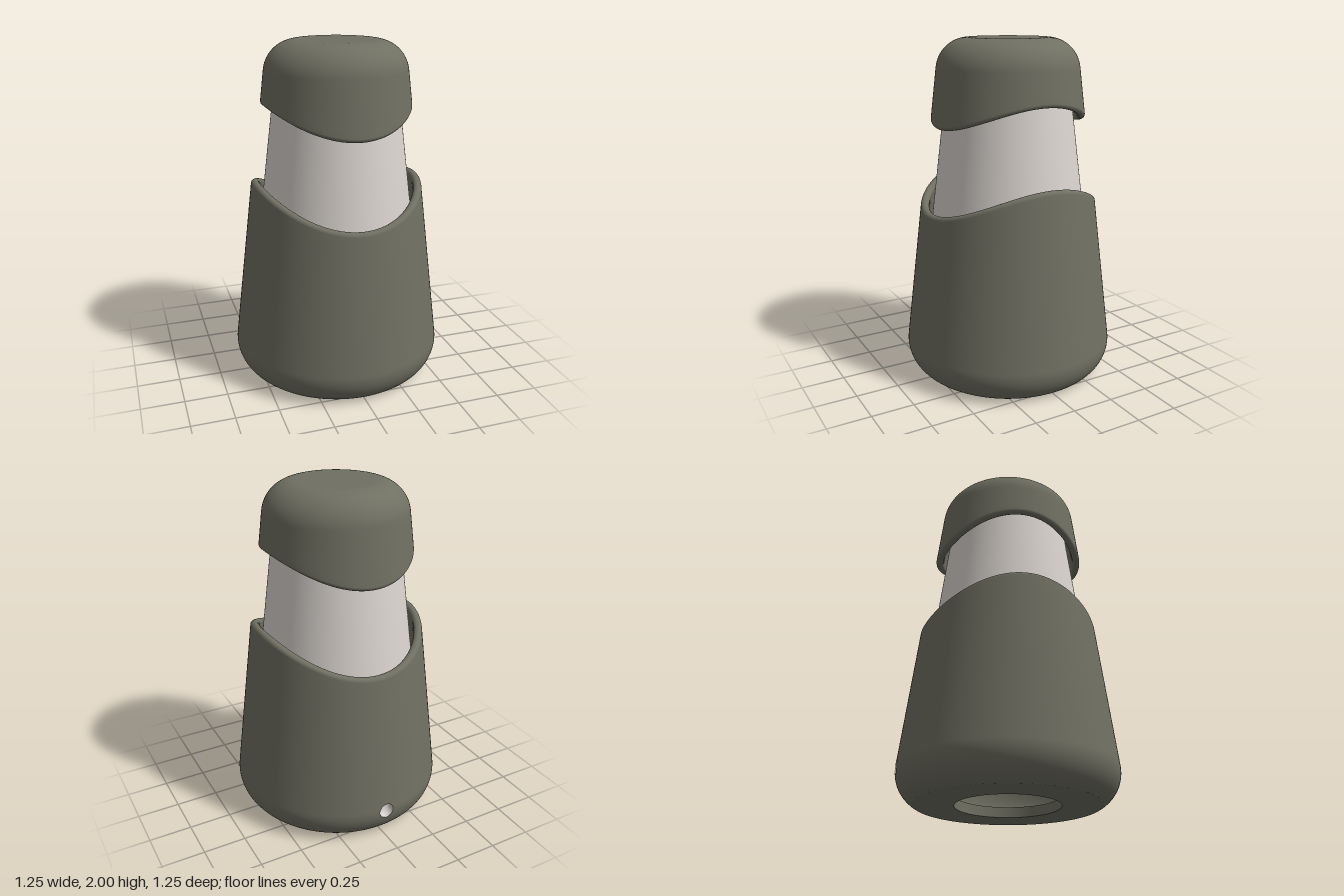
import * as THREE from 'three';

const SEGS = 220;
const SOCKET = { y: 0.18, r: 0.045 };

// points on an arc, angles in radians
function arc(cx, cy, r, a0, a1, n) {
  return Array.from({ length: n + 1 }, (_, i) => {
    const a = a0 + (a1 - a0) * i / n;
    return [cx + r * Math.cos(a), cy + r * Math.sin(a)];
  });
}

// points on a line, without its ends
function line(a, b, n) {
  return Array.from({ length: n - 1 }, (_, i) => {
    const t = (i + 1) / n;
    return [a[0] + (b[0] - a[0]) * t, a[1] + (b[1] - a[1]) * t];
  });
}

// revolves a profile that may change with the angle; cuts the socket hole in the first holeRows rows
function revolve(profile, holeRows = 0) {
  const pos = [], index = [], inHole = [];
  let rows = 0;
  for (let j = 0; j < SEGS; j++) {
    const u = 2 * Math.PI * j / SEGS;
    const theta = u + 0.6 * Math.sin(u); // denser columns at the back
    const pts = profile(theta);
    rows = pts.length;
    pts.forEach(([r, y], i) => {
      let x = r * Math.sin(theta), z = r * Math.cos(theta);
      const d = Math.hypot(x, y - SOCKET.y);
      const inside = i < holeRows && z < 0 && d < SOCKET.r;
      if (inside) {
        const k = SOCKET.r / Math.max(d, 1e-6);
        x *= k;
        y = SOCKET.y + (y - SOCKET.y) * k;
        z = -Math.sqrt(r * r - x * x);
      }
      pos.push(x, y, z);
      inHole.push(inside);
    });
  }
  for (let j = 0; j < SEGS; j++) {
    for (let i = 0; i < rows - 1; i++) {
      const a = j * rows + i, b = ((j + 1) % SEGS) * rows + i;
      if (inHole[a] && inHole[b] && inHole[a + 1] && inHole[b + 1]) continue;
      index.push(a, b, b + 1, a, b + 1, a + 1);
    }
  }
  const g = new THREE.BufferGeometry();
  g.setAttribute('position', new THREE.Float32BufferAttribute(pos, 3));
  g.setIndex(index);
  g.computeVertexNormals();
  return g;
}

// hollow base: rounded foot, tapering wall, wavy rounded rim, inner wall and floor
const baseRadius = y => 0.6235 - 0.122 * (y - 0.2);
function baseProfile(theta) {
  const top = 1.11 - 0.09 * Math.cos(2 * theta) - 0.025;
  const foot = arc(0.425, 0.175, 0.2, -1.065, 0.122, 24);
  const mid = [baseRadius(0.27), 0.27];
  const lip = arc(baseRadius(top) - 0.025, top, 0.025, 0.1, Math.PI, 10);
  return [
    ...foot, ...line(foot[24], mid, 7), mid, ...line(mid, lip[0], 14), ...lip,
    ...line(lip[10], [0.572, 0.22], 8),
    [0.572, 0.22], [0.566, 0.14], [0.545, 0.085], [0.5, 0.06], [0.48, 0.06], [0.295, 0.06],
  ];
}

// hollow cap: inner ceiling, inner wall, wavy rounded rim, outer wall, domed shoulder
const capRadius = y => 0.455 - 0.122 * (y - 1.5);
function capProfile(theta) {
  const low = 1.57 - 0.07 * Math.cos(2 * theta) + 0.022;
  const inner = arc(0.226, 1.81, 0.14, Math.PI / 2, 0.122, 10);
  const lip = arc(capRadius(low) - 0.022, low, 0.022, -Math.PI, 0.1, 10);
  const shoulder = arc(0.226, 1.81, 0.19, 0.122, Math.PI / 2, 20);
  return [
    [0, 1.95], [0.2, 1.95], ...inner, ...line(inner[10], lip[0], 5), ...lip,
    ...line(lip[10], shoulder[0], 8), ...shoulder, [0.2, 2], [0, 2],
  ];
}

export function createModel() {
  const model = new THREE.Group();
  model.name = 'tableLamp';
  const olive = new THREE.MeshStandardMaterial({ color: 0x6f6f62 });
  olive.name = 'olive grey';
  const white = new THREE.MeshStandardMaterial({ color: 0xd9d3ce, side: THREE.DoubleSide });
  white.name = 'warm white';

  const add = (name, geometry, material) => {
    const mesh = new THREE.Mesh(geometry, material);
    mesh.name = name;
    model.add(mesh);
    return mesh;
  };

  add('base', revolve(baseProfile, 32), olive);
  add('cap', revolve(capProfile), olive);

  // flat underside with its round opening
  add('underside', revolve(() => [[0.295, 0], [0.5218, 0]]), olive);
  add('openingWall', revolve(() => [[0.295, 0.06], [0.295, 0]]), olive);

  // tapered diffuser between base and cap
  const shade = add('diffuser', new THREE.CylinderGeometry(0.35, 0.4875, 1.1, 128, 1, true), white);
  shade.position.y = 1.25;

  // small cup lining the cable socket at the back
  const cup = [[0, 0], [0.03, 0.003], [0.043, 0.015], [0.046, 0.05]].map(p => new THREE.Vector2(...p));
  const socket = add('cableSocket', new THREE.LatheGeometry(cup, 32).rotateX(-Math.PI / 2), white);
  socket.position.set(0, SOCKET.y, -0.572);

  return model;
}
